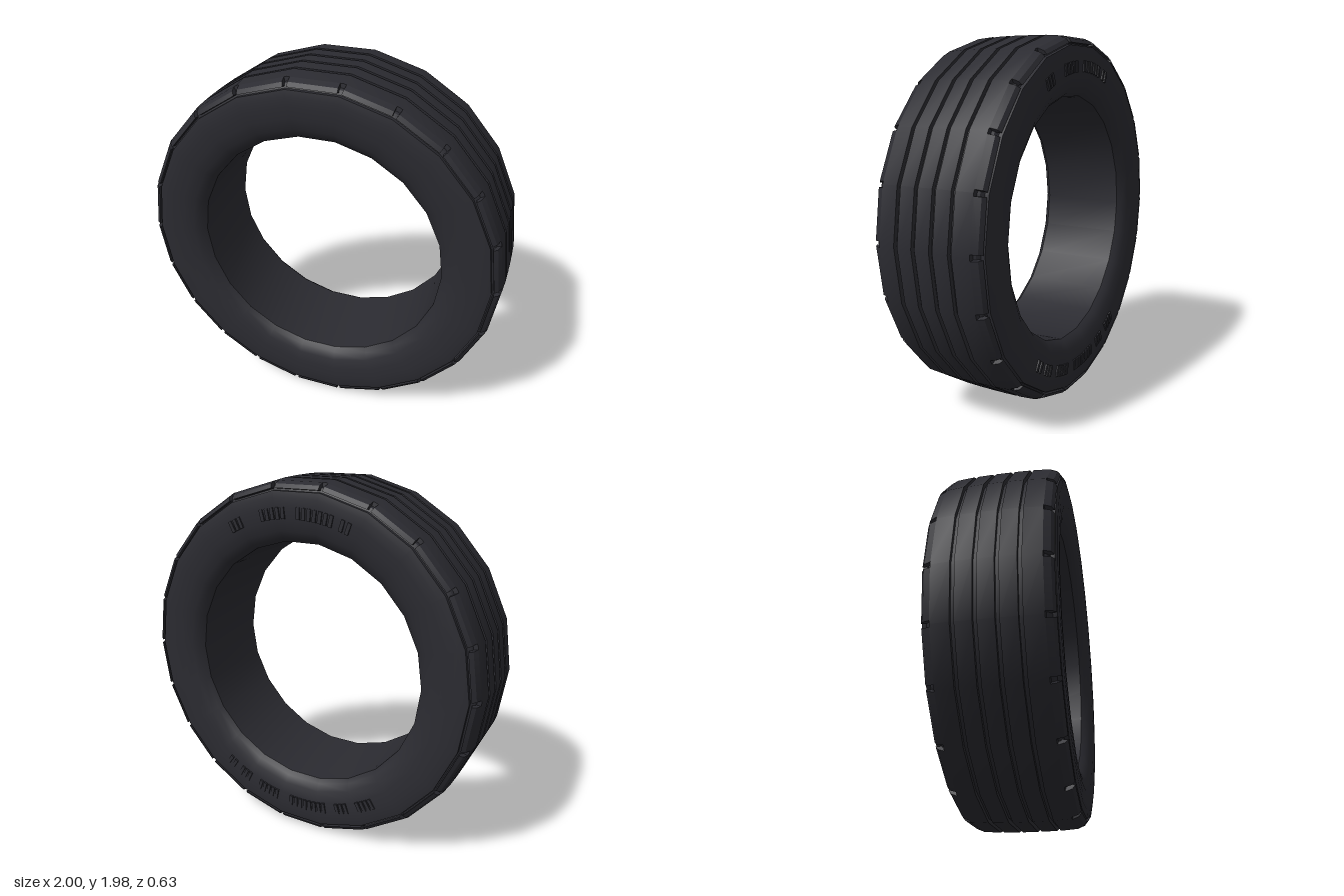
import * as THREE from 'three';
import { toCreasedNormals } from 'three/addons/utils/BufferGeometryUtils.js';

const SIDES = 22;
const STEP = (Math.PI * 2) / SIDES;
const APOTHEM = Math.cos(STEP / 2);

const rubber = new THREE.MeshStandardMaterial({ color: 0x2b2b31 });
rubber.name = 'darkRubber';

// Half of the cross-section as [radius, z], from tread centre to bead
function halfProfile() {
  const p = [];
  for (const [z, r] of [[0.05, 0.999], [0.152, 0.997]]) {
    // circumferential groove
    p.push([r, z - 0.01], [r - 0.022, z - 0.01], [r - 0.022, z + 0.01], [r, z + 0.01]);
  }
  // recess that carries the shoulder blocks
  p.push([0.99, 0.255], [0.968, 0.258], [0.962, 0.27], [0.943, 0.282], [0.943, 0.303]);
  // rounded sidewall down to the bead
  p.push([0.91, 0.31], [0.86, 0.31], [0.8, 0.306], [0.74, 0.293], [0.7, 0.27], [0.68, 0.245]);
  return p;
}

// Ring body, axis along z
function bodyGeometry() {
  const half = halfProfile();
  const pts = [
    ...half.slice().reverse().map(([r, z]) => new THREE.Vector2(r, -z)),
    ...half.map(([r, z]) => new THREE.Vector2(r, z)),
  ];
  pts.push(pts[0].clone());
  const geo = new THREE.LatheGeometry(pts, SIDES, STEP / 2);
  geo.rotateX(Math.PI / 2);
  return toCreasedNormals(geo, 0.5);
}

// One shoulder block, at the top of the ring
function blockGeometry() {
  const length = 2 * 0.98 * Math.sin(STEP / 2) - 0.028;
  const section = [[0.25, 0.96], [0.276, 0.95], [0.282, 0.956], [0.302, 0.956], [0.288, 0.977], [0.255, 0.99], [0.25, 0.988]];
  const shape = new THREE.Shape(section.map(([z, r]) => new THREE.Vector2(z, r * APOTHEM)));
  const geo = new THREE.ExtrudeGeometry(shape, { depth: length, bevelEnabled: false });
  geo.translate(0, 0, -length / 2);
  geo.rotateY(-Math.PI / 2);
  // lean the outer normals so shading runs round the ring
  const pos = geo.attributes.position;
  const nor = geo.attributes.normal;
  const n = new THREE.Vector3();
  for (let i = 0; i < pos.count; i++) {
    n.fromBufferAttribute(nor, i);
    if (Math.abs(n.x) > 0.5) continue;
    n.x = (n.y * pos.getX(i)) / pos.getY(i);
    n.normalize();
    nor.setXYZ(i, n.x, n.y, n.z);
  }
  return geo;
}

export function createModel() {
  const tyre = new THREE.Group();
  tyre.name = 'tyre';

  const body = new THREE.Mesh(bodyGeometry(), rubber);
  body.name = 'tyreBody';
  tyre.add(body);

  // Shoulder blocks on both sides, with a notch at every corner
  const block = blockGeometry();
  for (const [name, turn] of [['frontShoulder', 0], ['backShoulder', Math.PI]]) {
    const shoulder = new THREE.Group();
    shoulder.name = name;
    shoulder.rotation.y = turn;
    for (let i = 0; i < SIDES; i++) {
      const mesh = new THREE.Mesh(block, rubber);
      mesh.name = 'shoulderBlock';
      mesh.rotation.z = i * STEP;
      shoulder.add(mesh);
    }
    tyre.add(shoulder);
  }

  // Plain raised ribs on the back sidewall, in runs of [start, end] degrees from the top
  const ribs = new THREE.Group();
  ribs.name = 'backSidewallRibs';
  const rib = new THREE.BoxGeometry(0.02, 0.06, 0.014);
  const runs = [
    [-22, -17], [-15, 0], [4, 15], [23, 29],
    [143, 148], [150, 156], [160, 170], [175, 192], [196, 202], [206, 214],
  ];
  for (const [start, end] of runs) {
    const count = Math.max(2, Math.round((end - start) / 2.2));
    for (let i = 0; i < count; i++) {
      const a = THREE.MathUtils.degToRad(start + ((i + 0.5) * (end - start)) / count);
      const mesh = new THREE.Mesh(rib, rubber);
      mesh.name = 'rib';
      mesh.position.set(0.83 * Math.sin(a), 0.83 * Math.cos(a), -0.309);
      mesh.rotation.z = -a;
      ribs.add(mesh);
    }
  }
  tyre.add(ribs);

  tyre.position.y = 1;
  const model = new THREE.Group();
  model.name = 'model';
  model.add(tyre);
  return model;
}
